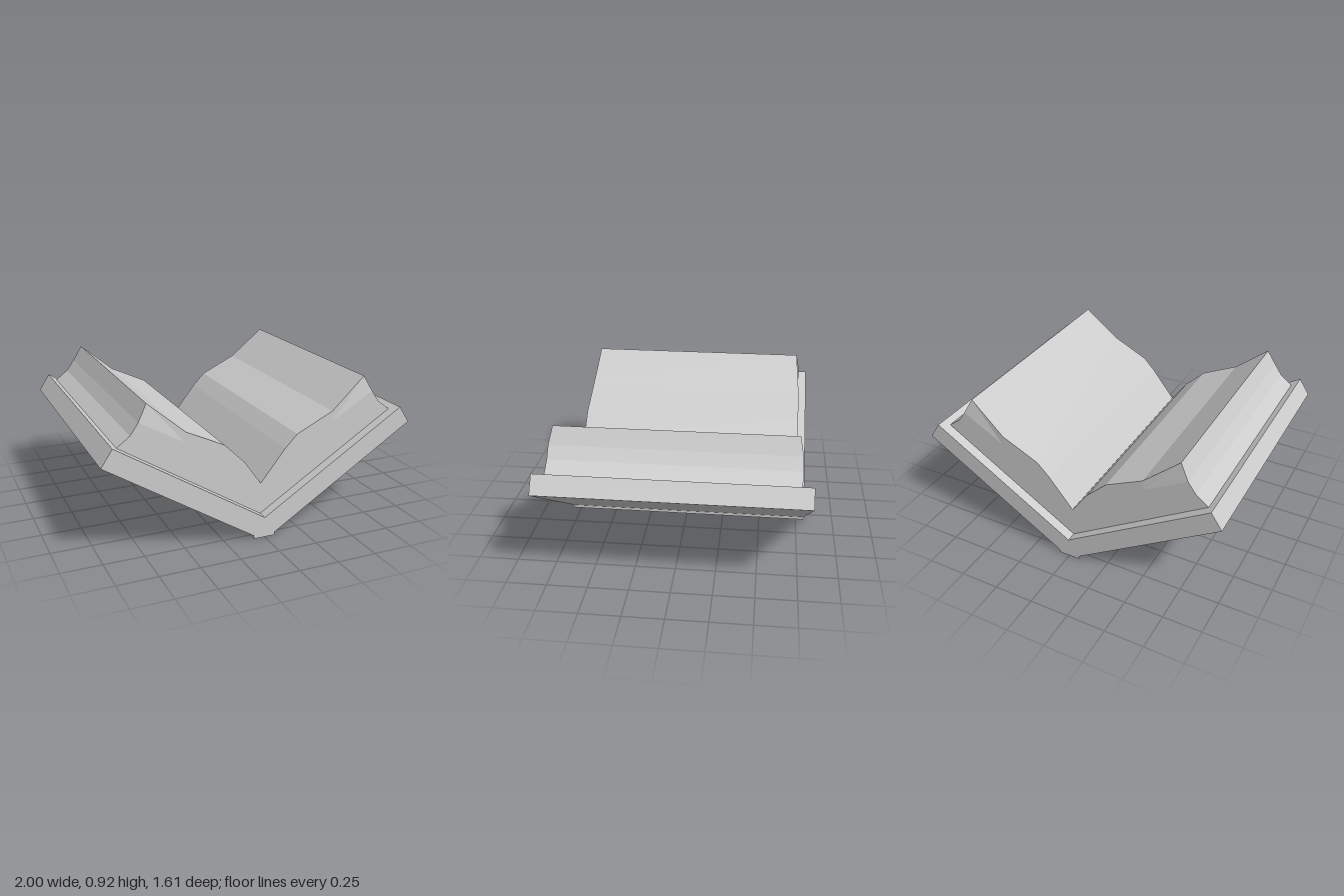
import * as THREE from 'three';

const material = new THREE.MeshStandardMaterial({ color: 0xcccccc, flatShading: true });

// Open cover: a V-shaped profile with a flat spine, extruded along z
function makeCover() {
  const half = [[0.07, 0], [0.07, 0.02], [1, 0.61], [0.93, 0.715]];
  const mirrored = half.map(([x, y]) => [-x, y]).reverse();
  const outline = [...half, [0, 0.13], ...mirrored].map(([x, y]) => new THREE.Vector2(x, y));
  const geometry = new THREE.ExtrudeGeometry(new THREE.Shape(outline), { depth: 1.61, bevelEnabled: false });
  geometry.translate(0, 0, -0.805);
  const mesh = new THREE.Mesh(geometry, material);
  mesh.name = 'cover';
  return mesh;
}

// Page block: a wavy outline whose two raised corners are pulled in at both ends
function makePages() {
  const edge = [[0.89, 0.69], [0.81, 0.75], [0.76, 0.82], [0.705, 0.92], [0.48, 0.727], [0.24, 0.612]];
  const outline = [
    [0, 0.13], ...edge, [0.16, 0.53], [0, 0.33], [-0.11, 0.485],
    ...edge.map(([x, y]) => [-x, y]).reverse(),
  ];
  const isCorner = ([, y]) => y > 0.9;
  const at = ([x, y], side) => [x, y, side * (isCorner([x, y]) ? 0.72 : 0.74)];
  const positions = [];
  const triangle = (a, b, c) => positions.push(...a, ...b, ...c);

  // Long faces between the two ends
  outline.forEach((p, i) => {
    const q = outline[(i + 1) % outline.length];
    triangle(at(p, 1), at(p, -1), at(q, -1));
    triangle(at(p, 1), at(q, -1), at(q, 1));
  });

  // Flat end faces stop at a point below each raised corner
  const capTriangle = (a, b, c) => {
    triangle(at(a, 1), at(b, 1), at(c, 1));
    triangle(at(c, -1), at(b, -1), at(a, -1));
  };
  const below = (p) => [Math.sign(p[0]) * 0.49, 0.668];
  const cap = outline.map((p) => (isCorner(p) ? below(p) : p));
  const faces = THREE.ShapeUtils.triangulateShape(cap.map(([x, y]) => new THREE.Vector2(x, y)), []);
  faces.forEach(([a, b, c]) => capTriangle(cap[a], cap[b], cap[c]));

  // Slanted end facets leading to the raised corners
  outline.forEach((p, i) => {
    if (!isCorner(p)) return;
    capTriangle(outline[i - 1], p, below(p));
    capTriangle(p, outline[i + 1], below(p));
  });

  const geometry = new THREE.BufferGeometry();
  geometry.setAttribute('position', new THREE.Float32BufferAttribute(positions, 3));
  geometry.computeVertexNormals();
  const mesh = new THREE.Mesh(geometry, material);
  mesh.name = 'pages';
  return mesh;
}

export function createModel() {
  const book = new THREE.Group();
  book.name = 'openBook';
  book.add(makeCover(), makePages());
  return book;
}
